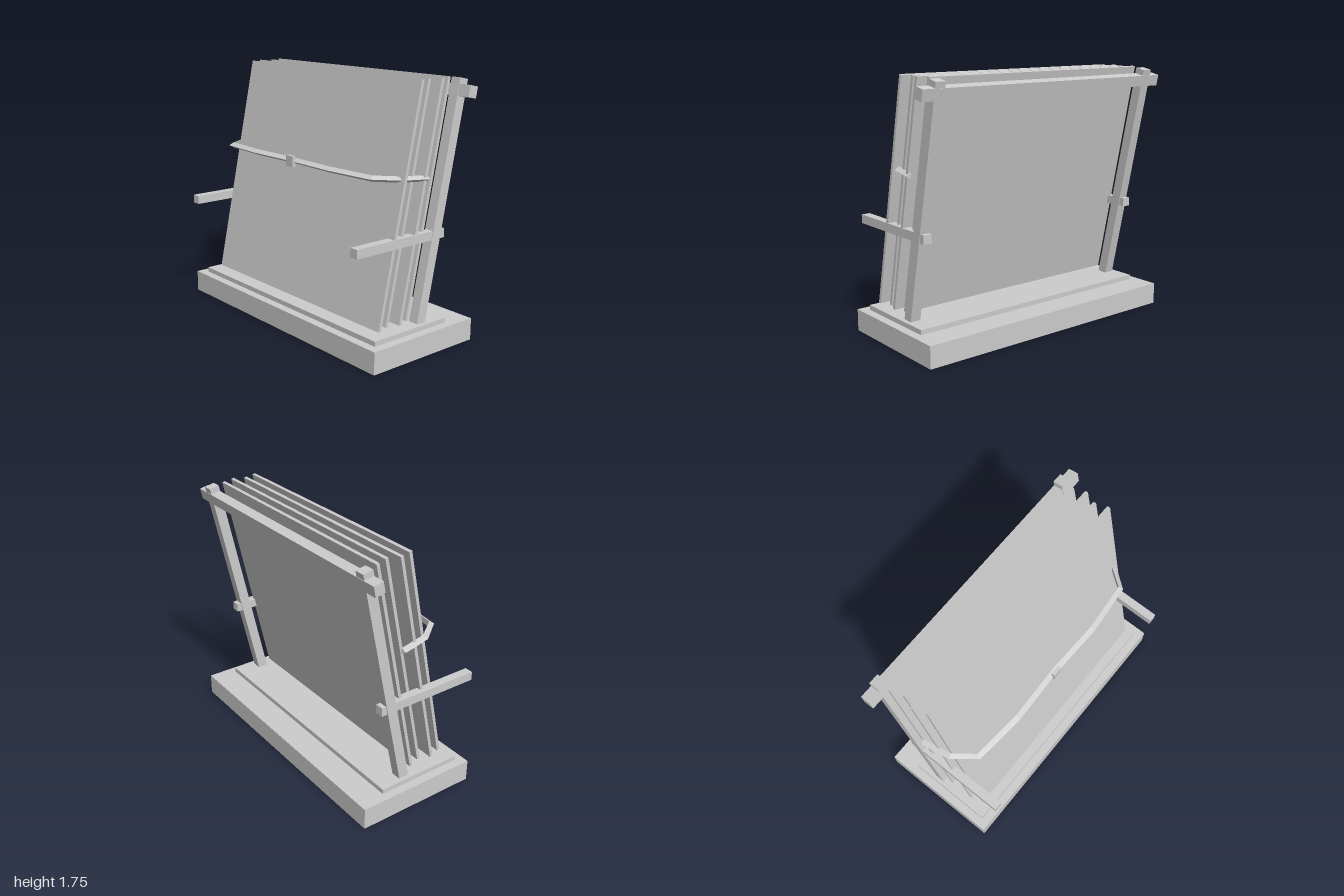
import * as THREE from 'three';

const TILT = -0.209; // backward lean shared by posts, beam and panels

// Joins matching rings of points into a flat-shaded skin; caps the chosen ends
function loft(rings, capStart, capEnd) {
  const n = rings[0].length;
  const pos = rings.flat(2);
  const idx = [];
  for (let i = 0; i < rings.length - 1; i++) {
    for (let j = 0; j < n; j++) {
      const a = i * n + j, b = i * n + (j + 1) % n;
      idx.push(a, b, b + n, a, b + n, a + n);
    }
  }
  const last = (rings.length - 1) * n;
  for (let j = 1; j < n - 1; j++) {
    if (capStart) idx.push(0, j + 1, j);
    if (capEnd) idx.push(last, last + j, last + j + 1);
  }
  const indexed = new THREE.BufferGeometry();
  indexed.setAttribute('position', new THREE.Float32BufferAttribute(pos, 3));
  indexed.setIndex(idx);
  const geometry = indexed.toNonIndexed();
  geometry.computeVertexNormals();
  return geometry;
}

export function createModel() {
  const model = new THREE.Group();
  model.name = 'panelRack';
  const grey = new THREE.MeshStandardMaterial({ color: 0xcccccc, side: THREE.DoubleSide });
  grey.name = 'lightGrey';

  const add = (name, geometry, x = 0, y = 0, z = 0, tilt = 0) => {
    const mesh = new THREE.Mesh(geometry, grey);
    mesh.name = name;
    mesh.position.set(x, y, z);
    mesh.rotation.x = tilt;
    model.add(mesh);
  };
  const box = (name, w, h, d, x, y, z, tilt) =>
    add(name, new THREE.BoxGeometry(w, h, d), x, y, z, tilt);

  // Stepped base, a shell open underneath
  const rect = (x, front, back, y) => [[-x, y, front], [x, y, front], [x, y, back], [-x, y, back]];
  add('base', loft([
    rect(1, 0.405, -0.47, 0),
    rect(1, 0.405, -0.47, 0.15),
    rect(0.94, 0.345, -0.28, 0.15),
    rect(0.94, 0.345, -0.28, 0.183),
  ], false, true));

  // Leaning posts and the level arms that cross them
  for (const [side, s] of [['left', 1], ['right', -1]]) {
    box(side + 'Post', 0.072, 1.588, 0.072, s * 0.876, 0.957, -0.248, TILT);
    box(side + 'Arm', 0.06, 0.06, 0.75, s * 0.877, 0.754, 0.095);
  }

  // Top beam
  box('topBeam', 2, 0.076, 0.071, 0, 1.657, -0.4, TILT);

  // Stack of leaning panels, alternately shifted sideways
  for (let i = 0; i < 4; i++) {
    box('panel' + (i + 1), 1.752, 1.57, 0.022, i % 2 ? -0.002 : 0.028, 0.98, 0.108 - i * 0.088, TILT);
  }

  // Strap: a three-sided bar bent around the panels, with its ridge outward
  const half = [[0.9, 1.13, -0.125], [0.865, 1.143, 0.075], [0.755, 1.151, 0.22], [0.4, 1.153, 0.252]];
  const path = [
    ...half.map(([x, y, z]) => [-x, y, z]),
    [0, 1.152, 0.238],
    ...half.slice().reverse(),
  ];
  const radius = 0.023;
  const rings = path.map(([x, y, z], i) => {
    const p = path[Math.max(i - 1, 0)], q = path[Math.min(i + 1, path.length - 1)];
    const out = new THREE.Vector2(-(q[2] - p[2]), q[0] - p[0]).normalize();
    return [0, 1, 2].map((k) => {
      const a = k * Math.PI * 2 / 3;
      const r = radius * Math.cos(a);
      return [x + out.x * r, y - radius * Math.sin(a), z + out.y * r];
    });
  });
  add('strap', loft(rings, true, true));

  // Buckle on the strap
  box('buckle', 0.07, 0.075, 0.025, 0, 1.152, 0.258);

  return model;
}
